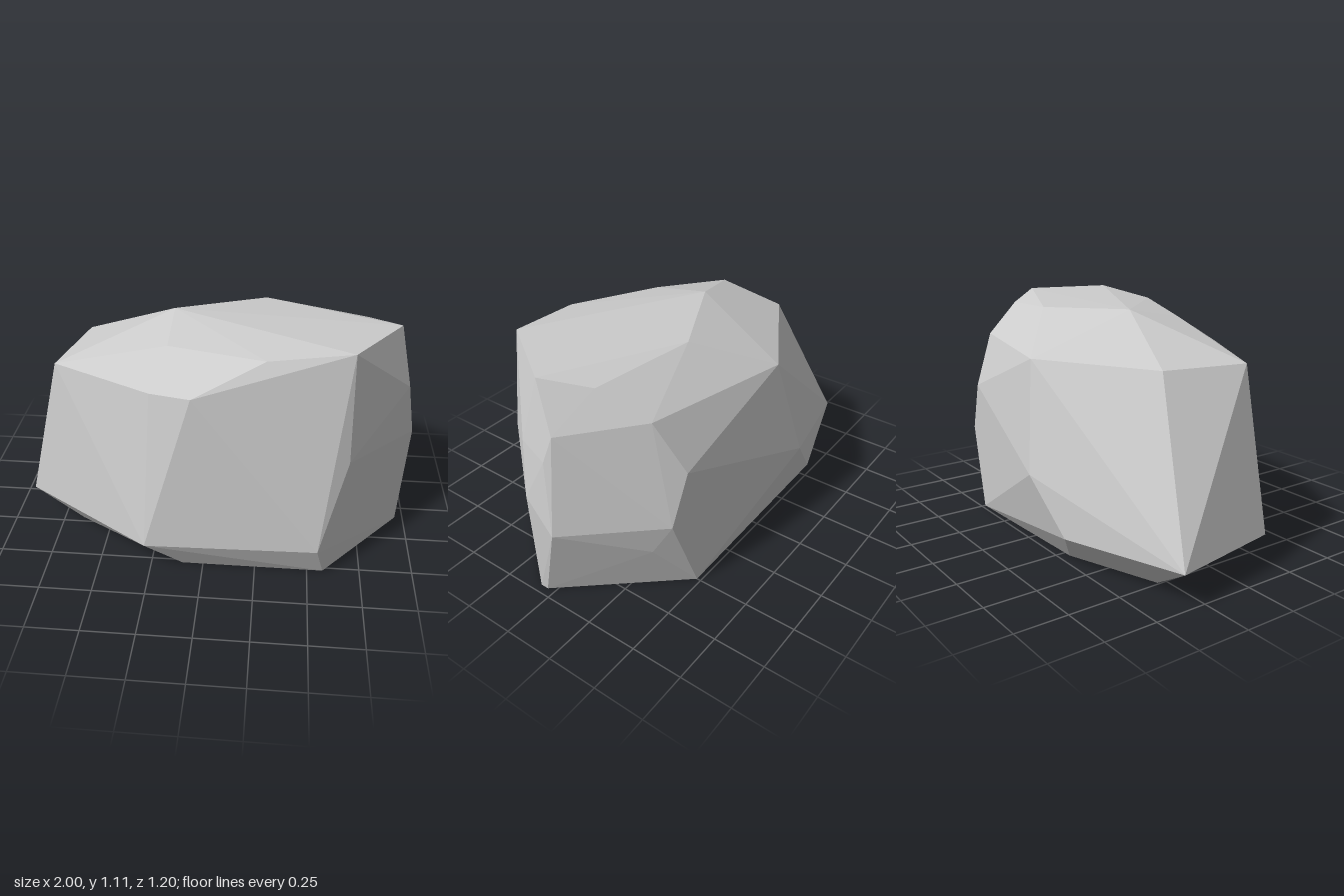
import * as THREE from 'three';
import { ConvexGeometry } from 'three/addons/geometries/ConvexGeometry.js';

// Corner points of the boulder, grouped by height band
const BASE = [
  [0.96, 0, 0.08], [0.96, 0, 0.04], [0.5, 0, -0.48], [-0.29, 0, -0.45],
  [-0.74, 0, -0.29], [-0.65, 0, 0.22], [-0.1, 0, 0.52], [0.575, 0, 0.52],
];
const LOWER = [
  [-1, 0.16, -0.36], [-0.9, 0.16, 0.19], [-0.27, 0.16, 0.6], [0.54, 0.16, 0.58],
  [-0.41, 0.15, -0.55], [0.69, 0.25, -0.37],
];
const MIDDLE = [
  [1, 0.4, -0.07], [0.65, 0.4, -0.45], [-0.2, 0.4, -0.6], [0.985, 0.54, 0.08],
  [0.66, 0.59, 0.46], [0.56, 0.65, -0.465], [0.96, 0.75, -0.02], [0.94, 0.8, 0.11],
];
const SHOULDER = [
  [-0.72, 0.9, 0.21], [-0.63, 0.9, -0.19], [-0.08, 0.9, -0.51], [0.64, 0.9, -0.34],
  [0.93, 0.87, -0.05], [-0.05, 0.92, 0.525], [-0.24, 0.905, 0.46],
];
const CROWN = [
  [-0.18, 1.095, -0.03], [-0.18, 1.04, 0.26], [0.27, 1.07, 0.43], [0.65, 1.105, 0.4],
  [0.88, 1.09, 0.06], [0.74, 1.04, -0.13], [0.25, 1.075, -0.24],
];

export function createModel() {
  const group = new THREE.Group();
  group.name = 'rock';

  // One faceted boulder wrapped around the corner points
  const points = [BASE, LOWER, MIDDLE, SHOULDER, CROWN]
    .flat()
    .map((p) => new THREE.Vector3(...p));
  const boulder = new THREE.Mesh(
    new ConvexGeometry(points),
    new THREE.MeshStandardMaterial({ color: 0xcccccc, flatShading: true }),
  );
  boulder.name = 'boulder';
  group.add(boulder);
  return group;
}
